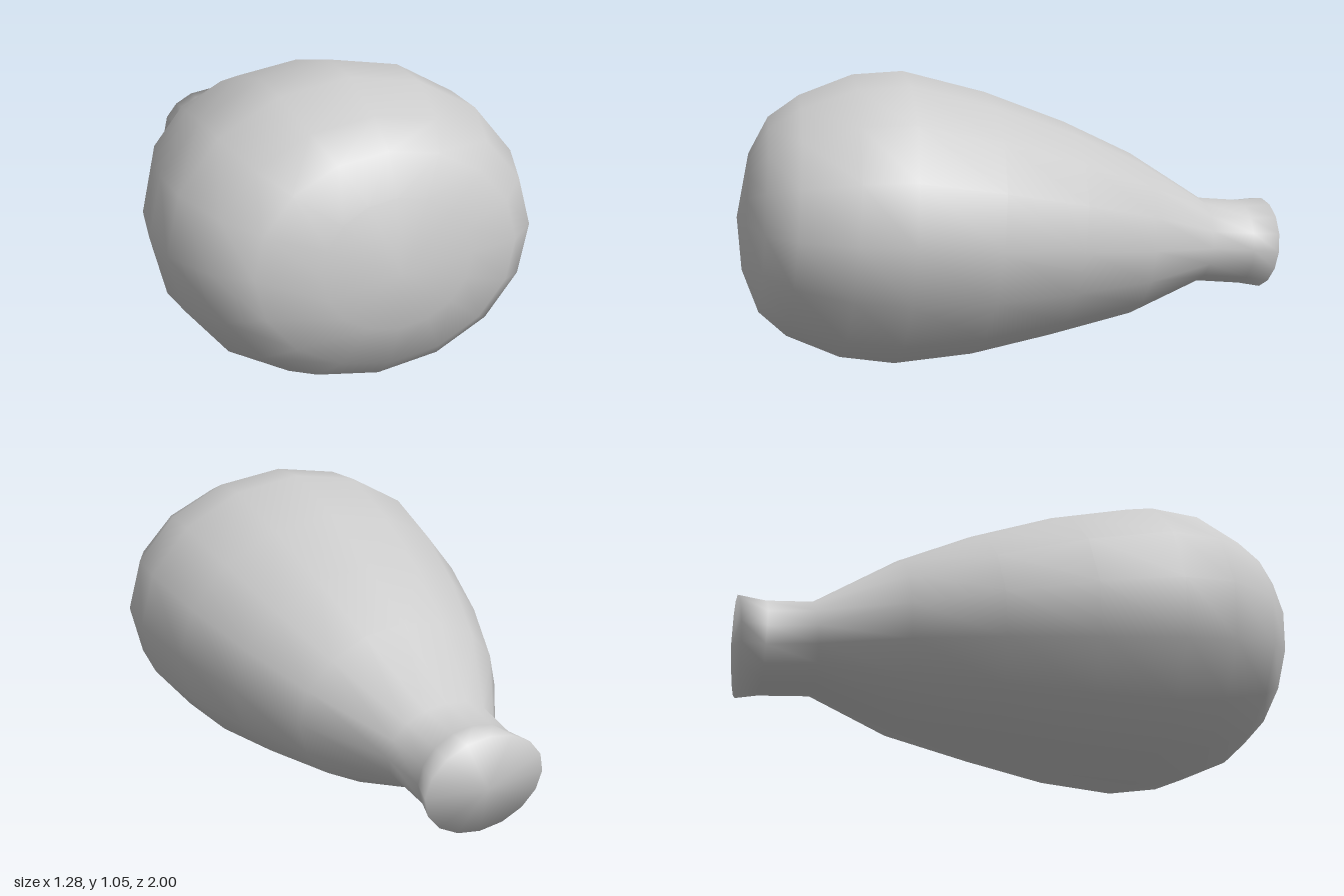
import * as THREE from 'three';

const SIDES = 16;

// Cross-sections from the rim to the round end: [zTop, zBottom, yTop, yBottom, halfWidth]
const RINGS = [
  [-1.0, -0.965, 0.54, 0.195, 0.215],
  [-0.9, -0.89, 0.535, 0.21, 0.19],
  [-0.74, -0.71, 0.55, 0.23, 0.205],
  [-0.46, -0.42, 0.73, 0.125, 0.385],
  [-0.2, -0.1, 0.855, 0.065, 0.5],
  [0.1, 0.2, 0.97, 0.015, 0.59],
  [0.4, 0.48, 1.05, 0.0, 0.64],
  [0.58, 0.67, 1.04, 0.035, 0.63],
  [0.77, 0.85, 0.97, 0.12, 0.55],
  [0.88, 0.94, 0.895, 0.205, 0.44],
  [0.95, 0.99, 0.77, 0.35, 0.25],
];
const BACK_POLE = [0, 0.36, -1.0];
const FRONT_POLE = [0, 0.54, 1.0];

// Skins slightly tilted elliptical rings and closes both ends with a fan
function loftGeometry() {
  const positions = [];
  const indices = [];
  for (const [zTop, zBottom, yTop, yBottom, halfWidth] of RINGS) {
    for (let j = 0; j < SIDES; j++) {
      const a = (j / SIDES) * Math.PI * 2;
      const t = (Math.sin(a) + 1) / 2;
      positions.push(
        Math.cos(a) * halfWidth,
        THREE.MathUtils.lerp(yBottom, yTop, t),
        THREE.MathUtils.lerp(zBottom, zTop, t)
      );
    }
  }
  const back = RINGS.length * SIDES;
  const front = back + 1;
  positions.push(...BACK_POLE, ...FRONT_POLE);

  const lastRing = (RINGS.length - 1) * SIDES;
  for (let j = 0; j < SIDES; j++) {
    const k = (j + 1) % SIDES;
    for (let r = 0; r < lastRing; r += SIDES) {
      const a = r + j, b = r + k, c = a + SIDES, d = b + SIDES;
      indices.push(a, b, d, a, d, c);
    }
    indices.push(back, k, j);
    indices.push(front, lastRing + j, lastRing + k);
  }

  const geometry = new THREE.BufferGeometry();
  geometry.setAttribute('position', new THREE.Float32BufferAttribute(positions, 3));
  geometry.setIndex(indices);
  geometry.computeVertexNormals();
  return geometry;
}

export function createModel() {
  const group = new THREE.Group();
  group.name = 'flask';

  // Rounded body tapering into a short flared neck
  const body = new THREE.Mesh(
    loftGeometry(),
    new THREE.MeshStandardMaterial({ color: 0xcccccc })
  );
  body.name = 'bodyAndNeck';
  group.add(body);

  return group;
}
